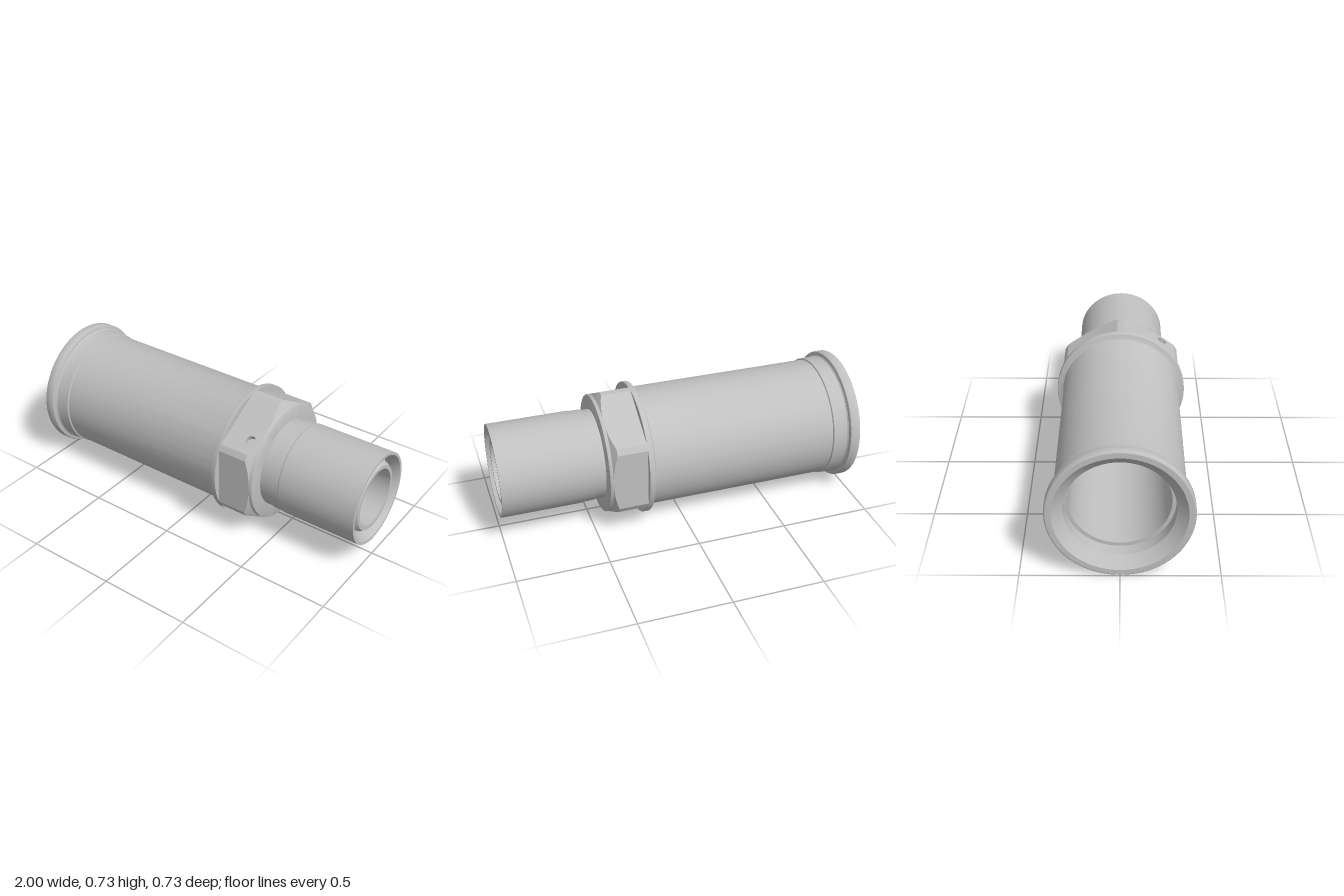
import * as THREE from 'three';
import { toCreasedNormals } from 'three/addons/utils/BufferGeometryUtils.js';

const AXIS_Y = 0.366; // height of the fitting's long axis
const FLAT = 0.326;   // axis to hex flat
const CORNER = 0.366; // radius that trims the hex corners
const HEX_BACK = 0.23;
const HEX_FRONT = 0.42;

export function createModel() {
  const steel = new THREE.MeshStandardMaterial({ color: 0xc0c0c0 });
  steel.name = 'brushed steel';
  const model = new THREE.Group();
  model.name = 'hoseFitting';
  const body = new THREE.Group();
  body.name = 'fittingBody';
  body.position.y = AXIS_Y;
  model.add(body);

  const add = (name, geometry) => {
    const mesh = new THREE.Mesh(geometry, steel);
    mesh.name = name;
    body.add(mesh);
    return mesh;
  };

  // Closed profile of [x, radius] turned round the x axis: outside forwards, inside back
  const turned = (name, profile) => {
    const points = [...profile, profile[0]].map(([x, r]) => new THREE.Vector2(r, x));
    const geometry = new THREE.LatheGeometry(points, 96);
    geometry.rotateZ(-Math.PI / 2);
    return add(name, toCreasedNormals(geometry, 0.5));
  };

  // Socket sleeve with rolled rim, rear flange of the nut and stepped bore
  turned('socketSleeve', [
    [-1, 0.358], [-0.997, 0.363], [-0.99, 0.366], [-0.95, 0.366], [-0.943, 0.363],
    [-0.94, 0.356], [-0.938, 0.346], [-0.932, 0.34], [-0.922, 0.338],
    [-0.852, 0.338], [-0.848, 0.33], [0.18, 0.33], [0.189, 0.333], [0.195, 0.342],
    [0.197, 0.358], [0.2, 0.364], [0.205, 0.366], [HEX_BACK, 0.366],
    [HEX_BACK, 0.162], [0.15, 0.162], [0.15, 0.255], [-0.88, 0.255],
    [-0.88, 0.275], [-0.95, 0.275], [-0.985, 0.315], [-1, 0.33],
  ]);

  // Round face in front of the hex
  turned('nutFace', [
    [HEX_FRONT - 0.01, 0.327], [0.432, 0.327], [0.436, 0.325], [0.438, 0.321],
    [0.438, 0.2], [HEX_FRONT - 0.01, 0.2],
  ]);

  // Outer spigot sleeve with a countersunk mouth
  turned('spigotSleeve', [
    [0.4, 0.247], [0.49, 0.247], [0.49, 0.251], [0.55, 0.252], [0.555, 0.255],
    [1, 0.255], [1, 0.24], [0.955, 0.218], [0.93, 0.218], [0.93, 0.18], [0.4, 0.18],
  ]);

  // Inner tube with a bevelled tip
  turned('innerTube', [
    [0.2, 0.193], [0.965, 0.193], [0.985, 0.18], [0.985, 0.16], [0.2, 0.16],
  ]);

  // Hex nut: flats, trimmed corners and a conical chamfer at the front
  const chamferX = (r) => HEX_FRONT - (r - FLAT) * 0.65;
  const trim = 30 - THREE.MathUtils.radToDeg(Math.acos(FLAT / CORNER));
  const positions = [];
  const section = (deg) => {
    const a = THREE.MathUtils.degToRad(deg);
    const off = THREE.MathUtils.degToRad(((deg + 360) % 60) - 30);
    const r = Math.min(FLAT / Math.cos(off), CORNER);
    return [[HEX_BACK, r], [chamferX(r), r], [HEX_FRONT, FLAT]]
      .map(([x, q]) => [x, q * Math.cos(a), q * Math.sin(a)]);
  };
  const strip = (from, to, steps, withSide) => {
    for (let i = 0; i < steps; i++) {
      const p = section(from + ((to - from) * i) / steps);
      const q = section(from + ((to - from) * (i + 1)) / steps);
      for (let j = withSide ? 0 : 1; j < 2; j++) {
        positions.push(...p[j], ...q[j], ...q[j + 1], ...p[j], ...q[j + 1], ...p[j + 1]);
      }
    }
  };
  for (let k = 0; k < 6; k++) {
    strip(60 * k + trim, 60 * k + 60 - trim, 16, k !== 0); // flat 0 carries the hole
    strip(60 * k + 60 - trim, 60 * k + 60 + trim, 4, true);
  }
  const hex = new THREE.BufferGeometry();
  hex.setAttribute('position', new THREE.Float32BufferAttribute(positions, 3));
  add('hexNut', toCreasedNormals(hex, 0.3));

  // Drilled flat, drawn as (along the flat, along the axis)
  const half = Math.sqrt(CORNER ** 2 - FLAT ** 2);
  const depth = 0.03;
  const outline = new THREE.Shape();
  outline.moveTo(-half, HEX_BACK);
  outline.lineTo(half, HEX_BACK);
  for (let i = 0; i <= 16; i++) {
    const s = half - (2 * half * i) / 16;
    outline.lineTo(s, chamferX(Math.hypot(FLAT, s)));
  }
  const hole = new THREE.Path();
  hole.absarc(0.088, 0.368, 0.027, 0, Math.PI * 2, true);
  outline.holes.push(hole);
  const panel = new THREE.ExtrudeGeometry(outline, { depth, bevelEnabled: false, curveSegments: 24 });
  const floor = new THREE.CircleGeometry(0.028, 24);
  floor.translate(0.088, 0.368, 0.002);

  // Lay the panel on the upper front flat
  const tilt = Math.PI / 6;
  const along = new THREE.Vector3(0, -Math.sin(tilt), Math.cos(tilt));
  const normal = new THREE.Vector3(0, Math.cos(tilt), Math.sin(tilt));
  const place = new THREE.Matrix4()
    .makeBasis(along, new THREE.Vector3(1, 0, 0), normal)
    .setPosition(normal.clone().multiplyScalar(FLAT - depth));
  add('drilledHexFlat', panel.applyMatrix4(place));
  add('holeFloor', floor.applyMatrix4(place));

  return model;
}
